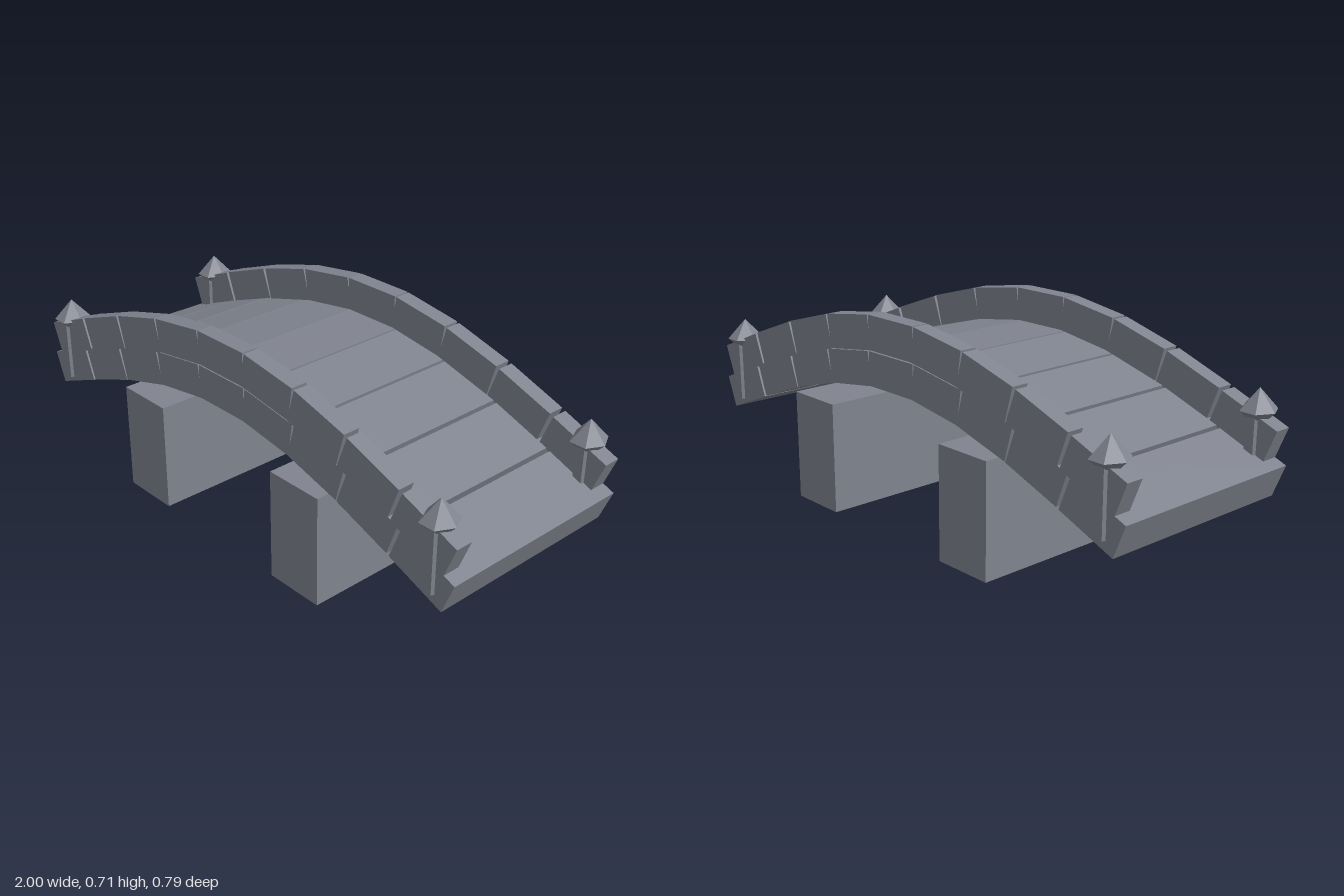
import * as THREE from 'three';

export function createModel() {
  const bridge = new THREE.Group();
  bridge.name = 'archedBridge';
  const stone = new THREE.MeshStandardMaterial({ color: 0x80848f });
  stone.name = 'slateStone';

  function add(parent, name, geometry, x, y, z) {
    const mesh = new THREE.Mesh(geometry, stone);
    mesh.name = name;
    mesh.position.set(x, y, z);
    parent.add(mesh);
    return mesh;
  }

  // Six-sided ring section with a corner towards +x, flat shaded
  function hex(top, bottom, height, stretch) {
    const g = new THREE.CylinderGeometry(top, bottom, height, 6);
    g.rotateY(Math.PI / 2);
    g.scale(1, 1, stretch);
    const flat = g.toNonIndexed();
    flat.computeVertexNormals();
    return flat;
  }

  // Arched run of nine slabs, each carrying two parapet blocks
  const spacing = 0.219, rise = 0.221, height = 0.116, length = 0.222;
  const slab = new THREE.BoxGeometry(length, height, 0.72);
  const block = new THREE.BoxGeometry(length, height, 0.06);
  for (let i = -4; i <= 4; i++) {
    const phase = (i * Math.PI) / 8;
    const x = i * spacing;
    const y = 0.537 - rise * (1 - Math.cos(phase));
    const tilt = -Math.atan(((rise * Math.PI) / 8 / spacing) * Math.sin(phase));
    add(bridge, 'deckSlab', slab, x, y, 0).rotation.z = tilt;
    for (const side of [-1, 1]) {
      add(bridge, 'parapetBlock', block, x, y + 0.12, side * 0.33).rotation.z = tilt;
    }
  }

  // Supporting piers
  const pier = new THREE.BoxGeometry(0.214, 0.385, 0.79);
  for (const side of [-1, 1]) add(bridge, 'pier', pier, side * 0.382, 0.1925, 0);

  // Corner posts with pointed caps
  const shaft = hex(0.032, 0.032, 0.215, 1.48);
  const capBase = hex(0.059, 0.034, 0.025, 1.12);
  const capTop = hex(0, 0.059, 0.07, 1.12);
  for (const sx of [-1, 1]) {
    for (const sz of [-1, 1]) {
      const post = new THREE.Group();
      post.name = 'cornerPost';
      post.position.set(sx * 0.91, 0, sz * 0.33);
      add(post, 'postShaft', shaft, 0, 0.3725, 0);
      add(post, 'capUnderside', capBase, 0, 0.4785, 0);
      add(post, 'capPoint', capTop, 0, 0.526, 0);
      bridge.add(post);
    }
  }
  return bridge;
}
